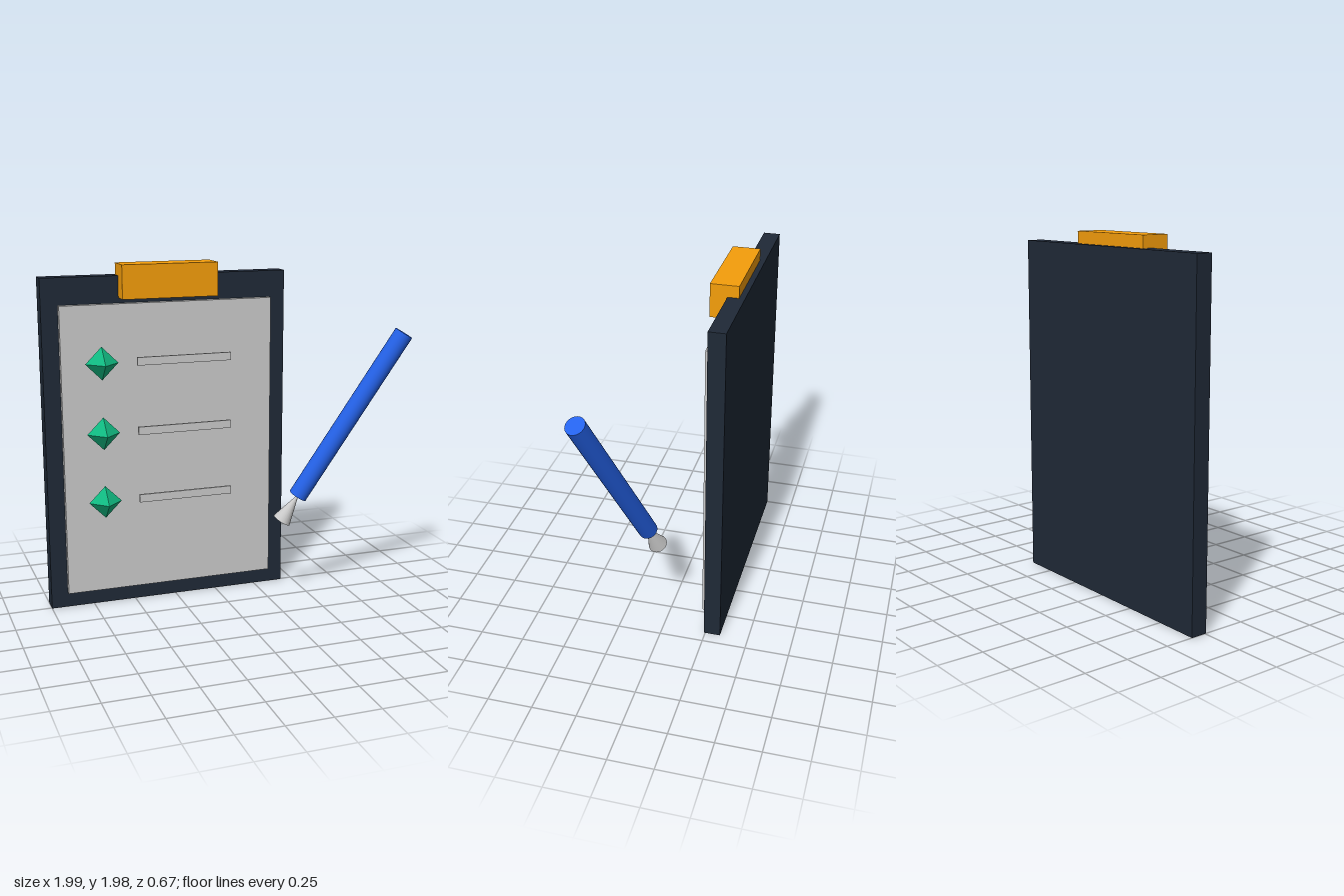
import * as THREE from 'three';

const mat = (color, flatShading = false) => new THREE.MeshStandardMaterial({ color, flatShading });

function add(parent, name, geometry, material, x, y, z) {
  const mesh = new THREE.Mesh(geometry, material);
  mesh.name = name;
  mesh.position.set(x, y, z);
  parent.add(mesh);
  return mesh;
}

export function createModel() {
  const group = new THREE.Group();
  group.name = 'clipboard';
  const navy = mat(0x1f2937), grey = mat(0xcccccc), orange = mat(0xf59e0b);
  const green = mat(0x10b981, true), blue = mat(0x2563eb);

  // Board, paper and top clip
  add(group, 'board', new THREE.BoxGeometry(1.43, 1.913, 0.095), navy, -0.285, 0.9565, -0.29);
  add(group, 'paper', new THREE.BoxGeometry(1.24, 1.67, 0.038), grey, -0.285, 0.926, -0.228);
  add(group, 'clip', new THREE.BoxGeometry(0.555, 0.19, 0.158), orange, -0.285, 1.885, -0.227);

  // Checklist rows: a gem bullet and a raised bar
  const bullet = new THREE.OctahedronGeometry(0.094);
  const bar = new THREE.BoxGeometry(0.555, 0.046, 0.014);
  for (const y of [1.44, 1.04, 0.64]) {
    add(group, 'bullet', bullet, green, -0.685, y, -0.16);
    add(group, 'textBar', bar, grey, -0.205, y, -0.163);
  }

  // Leaning pen, built along its own y axis from the lower end of the barrel
  const low = new THREE.Vector3(0.396, 0.641, 0.092);
  const axis = new THREE.Vector3(0.947, 1.592, 0.281).sub(low);
  const length = axis.length();
  const pen = new THREE.Group();
  pen.name = 'pen';
  pen.position.copy(low);
  pen.quaternion.setFromUnitVectors(new THREE.Vector3(0, 1, 0), axis.normalize());
  add(pen, 'barrel', new THREE.CylinderGeometry(0.054, 0.054, length, 24), blue, 0, length / 2, 0);
  // Tip cone, wide end outward
  add(pen, 'tip', new THREE.ConeGeometry(0.054, 0.19, 24), grey, 0, -0.08, 0);
  group.add(pen);

  return group;
}
